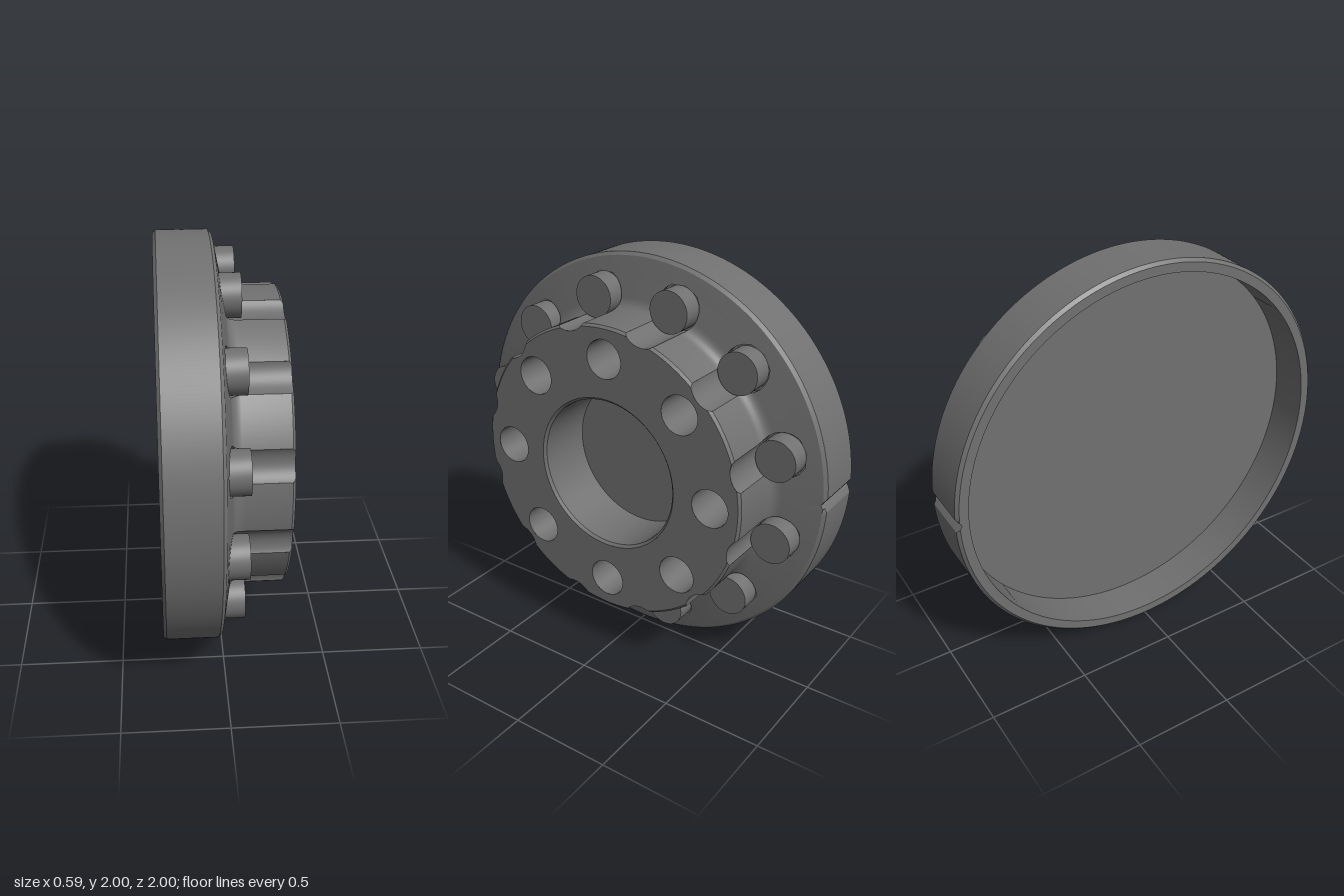
import * as THREE from 'three';
import { toCreasedNormals } from 'three/addons/utils/BufferGeometryUtils.js';

const TAU = Math.PI * 2;
const STUDS = 12, STEP = TAU / STUDS, STUD_CIRCLE = 0.817, STUD_R = 0.101, POCKET_R = 0.11;
const HOLES = 8, HOLE_R = 0.095, HOLE_CIRCLE = 0.583;
const FACE_X = 0.295, HUB_R = 0.74, FACE_R = 0.728, BORE = 0.388;

// Surface through rows x cols points given by point(i, j)
function grid(rows, cols, point) {
  const pos = [], idx = [];
  for (let i = 0; i < rows; i++) {
    for (let j = 0; j < cols; j++) pos.push(...point(i, j));
  }
  for (let i = 0; i < rows - 1; i++) {
    for (let j = 0; j < cols - 1; j++) {
      const a = i * cols + j, c = a + cols;
      idx.push(a, a + 1, c, a + 1, c + 1, c);
    }
  }
  const g = new THREE.BufferGeometry();
  g.setAttribute('position', new THREE.Float32BufferAttribute(pos, 3));
  g.setIndex(idx);
  return toCreasedNormals(g, 0.45);
}

const polar = (x, r, a) => [x, r * Math.cos(a), r * Math.sin(a)];

// Profile of [x, radius] revolved around the x axis
const revolve = (profile, segments, limit = (a, r) => r) =>
  grid(profile.length, segments + 1, (i, j) => {
    const a = (j % segments) / segments * TAU;
    return polar(profile[i][0], limit(a, profile[i][1]), a);
  });

// Small V groove in the rim, at the back (-z)
function notch(a, r) {
  const off = Math.abs(a % TAU - TAU * 0.75);
  return off < 0.04 ? Math.min(r, 0.975 + off * 0.8) : r;
}

// Half the angle a stud pocket takes up on a circle of radius r
function pocketAngle(r) {
  const c = (r * r + STUD_CIRCLE ** 2 - POCKET_R ** 2) / (2 * r * STUD_CIRCLE);
  return Math.acos(Math.min(1, c));
}

// Conical skirt, fillet, hub wall and chamfer
const hubProfile = [[-0.02, 0.985], [-0.008, 0.927], [-0.004, 0.905]];
for (const r of [0.88, 0.85, 0.82, 0.8]) hubProfile.push([-0.02 + 0.2 * (0.985 - r), r]);
for (let i = 0; i <= 6; i++) {
  const a = 0.197 + (Math.PI / 2 - 0.197) * i / 6;
  hubProfile.push([0.078 - 0.06 * Math.cos(a), 0.8 - 0.06 * Math.sin(a)]);
}
hubProfile.push([FACE_X - 0.012, HUB_R], [FACE_X, FACE_R]);

// Height of the hub surface at radius r
function heightAt(r) {
  const i = hubProfile.findIndex((p) => p[1] < r);
  if (i < 1) return FACE_X;
  const [x0, r0] = hubProfile[i - 1], [x1, r1] = hubProfile[i];
  return x0 + (x1 - x0) * (r0 - r) / (r0 - r1);
}

// Round pocket cut into skirt and hub wall, centred at radius STUD_CIRCLE
function pocketGeometry() {
  const turns = [];
  for (let j = 0; j <= 60; j++) turns.push(j / 60 * TAU);
  const t = Math.acos((HUB_R ** 2 - STUD_CIRCLE ** 2 - POCKET_R ** 2) / (2 * STUD_CIRCLE * POCKET_R));
  for (const e of [-0.002, 0.002]) turns.push(t + e, TAU - t + e);
  turns.sort((a, b) => a - b);
  return grid(3, turns.length, (i, j) => {
    const q = i < 2 ? POCKET_R : 0;
    const y = STUD_CIRCLE + q * Math.cos(turns[j]), z = q * Math.sin(turns[j]);
    return [i === 0 ? heightAt(Math.hypot(y, z)) : -0.01, y, z];
  });
}

// Flat hub face with scalloped edge, bore and bolt holes
function faceGeometry() {
  const face = new THREE.Shape();
  const alpha = pocketAngle(FACE_R);
  const beta = Math.asin(FACE_R * Math.sin(alpha) / POCKET_R);
  for (let k = 0; k < STUDS; k++) {
    const a = (k + 0.5) * STEP;
    face.absarc(0, 0, FACE_R, a - STEP + alpha, a - alpha, false);
    face.absarc(STUD_CIRCLE * Math.cos(a), STUD_CIRCLE * Math.sin(a), POCKET_R,
      a + Math.PI + beta, a + Math.PI - beta, true);
  }
  const cut = (x, y, r) => face.holes.push(new THREE.Path().absarc(x, y, r, 0, TAU, true));
  cut(0, 0, BORE);
  for (let i = 0; i < HOLES; i++) {
    const a = i / HOLES * TAU;
    cut(HOLE_CIRCLE * Math.cos(a), HOLE_CIRCLE * Math.sin(a), HOLE_R);
  }
  return new THREE.ShapeGeometry(face, 32).rotateY(Math.PI / 2).translate(FACE_X, 0, 0);
}

export function createModel() {
  const group = new THREE.Group();
  group.name = 'wheelHub';
  const material = new THREE.MeshStandardMaterial({ color: 0x707070 });
  // Every part is turned about the hub axis, which lies at y = 1
  const add = (name, geometry, angle = 0) => {
    const mesh = new THREE.Mesh(geometry, material);
    mesh.name = name;
    mesh.position.y = 1;
    mesh.rotation.x = angle;
    group.add(mesh);
  };

  // Flange: recessed back and chamfered rim
  add('flange', revolve([
    [-0.1, 0], [-0.1, 0.94], [-0.295, 0.94], [-0.295, 0.985], [-0.28, 1],
    [-0.035, 1], [-0.02, 0.985],
  ], 360, notch));

  // Studs in their pockets, and the hub sectors between them
  const pocket = pocketGeometry();
  const stud = revolve([[-0.01, STUD_R], [0.09, STUD_R], [0.09, 0]], 48)
    .translate(0, STUD_CIRCLE, 0);
  for (let k = 0; k < STUDS; k++) {
    const start = (k + 0.5) * STEP;
    add('studPocket', pocket, start);
    add('stud', stud, start);
    add('hubSector', grid(hubProfile.length, 31, (i, j) => {
      const [x, r] = hubProfile[i], alpha = pocketAngle(r);
      const a = start + alpha + (STEP - 2 * alpha) * j / 30;
      return polar(x, notch(a, r), a);
    }));
  }

  // Hub face, centre bore and blind bolt holes
  add('hubFace', faceGeometry());
  add('centreBore', revolve([[FACE_X, BORE], [FACE_X - 0.013, 0.375], [0, 0.375], [0, 0]], 96));
  const hole = revolve([[FACE_X, HOLE_R], [0, HOLE_R], [0, 0]], 48).translate(0, HOLE_CIRCLE, 0);
  for (let i = 0; i < HOLES; i++) add('boltHole', hole, i / HOLES * TAU);

  return group;
}
